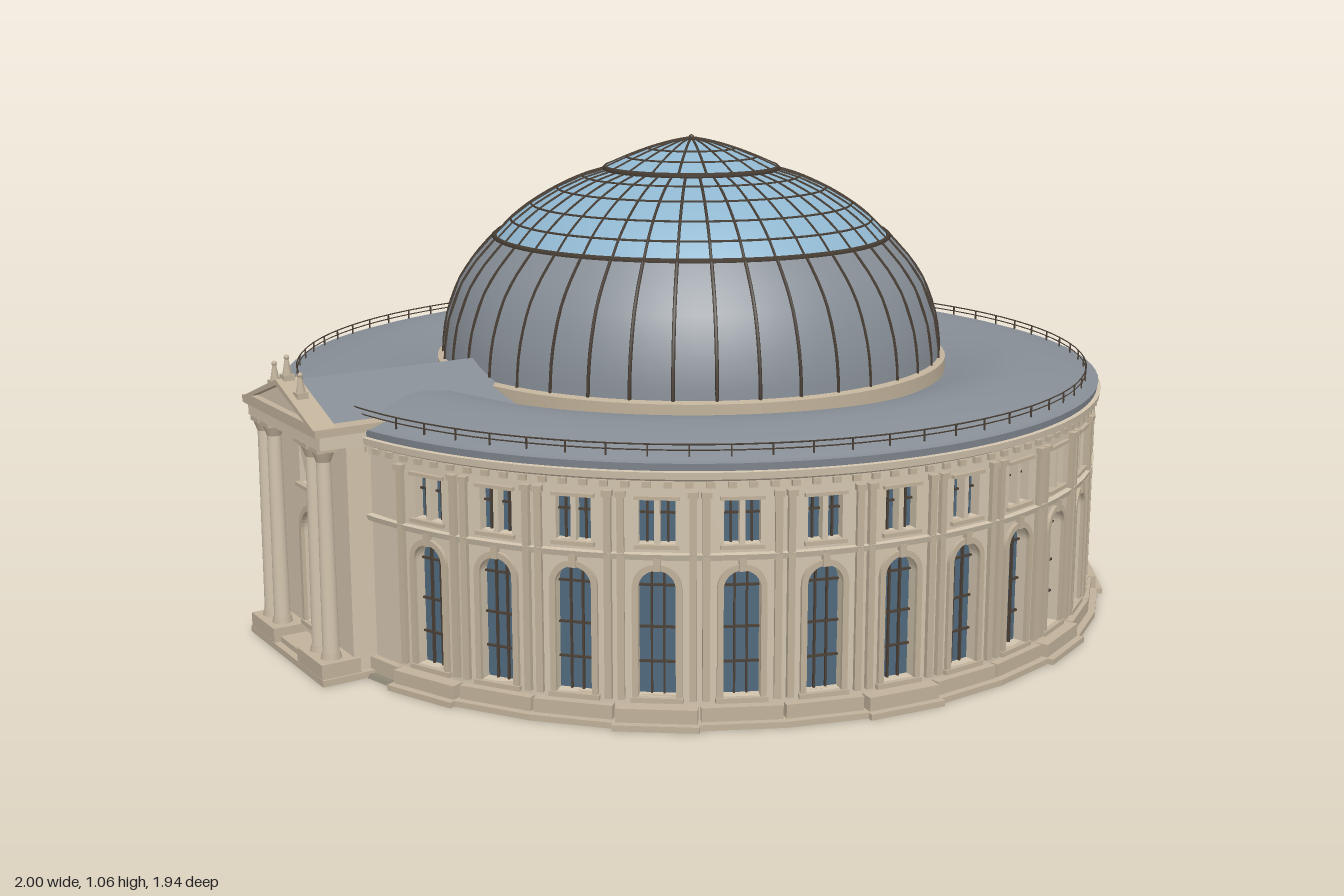
import * as THREE from 'three';
import { mergeGeometries, toCreasedNormals } from 'three/addons/utils/BufferGeometryUtils.js';

const mat = (color, side = THREE.FrontSide) => new THREE.MeshStandardMaterial({ color, side });
const STONE = mat(0xd2c4ae), TRIM = mat(0xc0b19a), PANE = mat(0x4f687c), FRAME = mat(0x4a4036);
const LEAD = mat(0x868d95, THREE.DoubleSide), SKY = mat(0x8fb6cf, THREE.DoubleSide), BASE = mat(0x8d8676);
const DEG = Math.PI / 180, R = 0.922;

// Join many small geometries into one named mesh
function joined(name, list, material) {
  const geo = mergeGeometries(list.map(g => (g.index ? g.toNonIndexed() : g)));
  const m = new THREE.Mesh(geo, material);
  m.name = name;
  return m;
}
const box = (w, h, d, x, y, z) => new THREE.BoxGeometry(w, h, d).translate(x, y, z);
const ring = (r, y, t, seg = 96) => new THREE.TorusGeometry(r, t, 4, seg).rotateX(Math.PI / 2).translate(0, y, 0);
const turn = (profile, seg = 80) => toCreasedNormals(
  new THREE.LatheGeometry(profile.map(p => new THREE.Vector2(p[0], p[1])), seg), 0.6);
const extrude = (shape, depth) => new THREE.ExtrudeGeometry(shape, { depth, bevelEnabled: false, curveSegments: 10 });

function rectPath(p, x0, y0, x1, y1) {
  p.moveTo(x0, y0); p.lineTo(x1, y0); p.lineTo(x1, y1); p.lineTo(x0, y1); p.closePath();
  return p;
}
function archPath(p, half, y0, spring) {
  p.moveTo(-half, y0); p.lineTo(half, y0); p.lineTo(half, spring);
  p.absarc(0, spring, half, 0, Math.PI, false);
  p.lineTo(-half, y0);
  return p;
}

// One wall bay facing +z: pierced panel, window trim and glazing bars
function bay(width, half, lights, z, top, depth) {
  const y0 = 0.055, spring = 0.31 - half, pane = half * 0.82;
  const wall = rectPath(new THREE.Shape(), -width / 2, 0, width / 2, top);
  wall.holes.push(archPath(new THREE.Path(), half, y0, spring));
  const trim = [], bars = [];
  const surround = archPath(new THREE.Shape(), half + 0.012, y0, spring);
  surround.holes.push(archPath(new THREE.Path(), half, y0, spring));
  trim.push(extrude(surround, 0.008).translate(0, 0, z));
  trim.push(box(0.014, 0.026, 0.014, 0, 0.322, z + 0.005));
  trim.push(box(half * 2 + 0.03, 0.01, 0.022, 0, y0 - 0.005, z));
  for (const x of lights) {
    wall.holes.push(rectPath(new THREE.Path(), x - pane / 2, 0.36, x + pane / 2, 0.448));
    bars.push(box(0.004, 0.088, 0.006, x, 0.404, z - 0.019), box(pane, 0.004, 0.006, x, 0.418, z - 0.019));
  }
  const span = Math.max(...lights) * 2 + pane + 0.016;
  trim.push(box(span, 0.008, 0.018, 0, 0.356, z), box(span, 0.007, 0.018, 0, 0.452, z));
  for (const x of [-half / 3, half / 3]) bars.push(box(0.004, spring + half * 0.9 - y0, 0.006, x, (spring + half * 0.9 + y0) / 2, z - 0.019));
  for (const y of [0.12, 0.19, spring]) bars.push(box(half * 2, 0.004, 0.006, 0, y, z - 0.019));
  return { wall: [extrude(wall, depth).translate(0, 0, z - depth)], trim, bars };
}

function drum() {
  const g = new THREE.Group(); g.name = 'drum';
  const wall = [], trim = [], bars = [];
  const place = (parts, a) => {
    for (const [from, to] of [[parts.wall, wall], [parts.trim, trim], [parts.bars, bars]])
      from.forEach(q => to.push(q.rotateY(a * DEG)));
  };
  // Runs of bays: start angle, end angle, number, window half width
  for (const [start, end, n, half] of [[-94, 87, 18, 0.036], [87, 227.4, 19, 0.031]]) {
    const step = (end - start) / n, w = 2 * R * Math.tan(step * DEG / 2);
    for (let i = 0; i < n; i++) {
      const a = start + (i + 0.5) * step;
      const b = bay(w, half, [-half * 0.56, half * 0.56], R, 0.475, 0.03);
      // Pilasters and stepped plinth
      for (const s of [-1, 1]) {
        b.trim.push(box(0.014, 0.415, 0.014, s * (w / 2 - 0.012), 0.2575, R + 0.003));
        b.trim.push(box(0.02, 0.012, 0.022, s * (w / 2 - 0.012), 0.46, R + 0.003));
      }
      const out = i % 3 === 0 ? 0.03 : 0.018;
      b.trim.push(box(w * 0.98, 0.04, 0.03 + out, 0, 0.02, R - 0.015 + out / 2));
      b.trim.push(box(w * 1.04, 0.012, 0.03 + out, 0, 0.006, R + out / 2));
      place(b, a);
    }
  }
  // Plain wall beside the portico
  for (let i = 0; i < 4; i++) {
    const step = 38.6 / 4, w = 2 * R * Math.tan(step * DEG / 2);
    place({ wall: [box(w, 0.475, 0.03, 0, 0.2375, R - 0.015)], trim: [box(w, 0.04, 0.03, 0, 0.02, R)], bars: [] },
      227.4 + (i + 0.5) * step);
  }
  // Dentils under the cornice
  for (let i = 0; i < 144; i++) trim.push(box(0.016, 0.012, 0.016, 0, 0.479, R + 0.004).rotateY(i * 2.5 * DEG));
  // Broad doorstep
  trim.push(box(0.34, 0.014, 0.1, 0, 0.007, 0.925).rotateY(57 * DEG));
  g.add(joined('wallBays', wall, STONE), joined('wallTrim', trim, TRIM), joined('windowBars', bars, FRAME));
  g.add(joined('windowGlass', [new THREE.CylinderGeometry(0.9, 0.9, 0.47, 96, 1, true).translate(0, 0.235, 0)], PANE));
  g.add(joined('foundation', [new THREE.CylinderGeometry(0.95, 0.955, 0.008, 72).translate(0, 0.004, 0)], BASE));
  g.add(joined('stringCourse', [turn([[0.9, 0.328], [0.932, 0.331], [0.936, 0.343], [0.9, 0.346]], 96)], STONE));
  g.add(joined('cornice', [turn([[0.89, 0.465], [0.926, 0.468], [0.926, 0.485], [0.942, 0.492], [0.944, 0.506], [0.9, 0.51]], 96)], STONE));
  return g;
}

function roof() {
  const g = new THREE.Group(); g.name = 'roof';
  g.add(joined('gutter', [turn([[0.9, 0.505], [0.935, 0.507], [0.938, 0.522], [0.915, 0.525]], 96)], LEAD));
  g.add(joined('ringRoof', [new THREE.LatheGeometry([[0.935, 0.52], [0.9, 0.533], [0.84, 0.548], [0.78, 0.559],
    [0.74, 0.561], [0.69, 0.556], [0.63, 0.538], [0.57, 0.515]].map(p => new THREE.Vector2(...p)), 96)], LEAD));
  const rail = [ring(0.91, 0.552, 0.0016), ring(0.91, 0.541, 0.0014)];
  for (let i = 0; i < 72; i++) {
    if (i * 5 > 236 && i * 5 < 262) continue;
    rail.push(box(0.003, 0.03, 0.003, 0, 0.538, 0.91).rotateY(i * 5 * DEG));
  }
  g.add(joined('roofRail', rail, FRAME));
  return g;
}

function dome() {
  const g = new THREE.Group(); g.name = 'dome';
  const lower = [[0.578, 0.5], [0.577, 0.58], [0.566, 0.65], [0.536, 0.73], [0.502, 0.78], [0.458, 0.828]];
  const glass = [[0.452, 0.83], [0.417, 0.866], [0.37, 0.902], [0.31, 0.937], [0.25, 0.963], [0.198, 0.978]];
  const crown = [[0.2, 0.984], [0.15, 1.006], [0.1, 1.025], [0.05, 1.04], [0, 1.05]];
  const ribs = [];
  for (const [name, profile, material, n, t] of [['domeShell', lower, LEAD, 40, 0.004],
    ['domeGlazing', glass, SKY, 40, 0.0032], ['crownGlazing', crown, SKY, 20, 0.003]]) {
    g.add(joined(name, [turn(profile)], material));
    const path = new THREE.CatmullRomCurve3(profile.map(p => new THREE.Vector3(0, p[1], p[0])));
    for (let i = 0; i < n; i++) ribs.push(new THREE.TubeGeometry(path, 12, t, 4).rotateY((i + 0.5) * Math.PI * 2 / n));
  }
  for (const p of [...glass.slice(1, 5), crown[1], crown[2]]) ribs.push(ring(p[0], p[1], 0.003, 80));
  ribs.push(ring(0.455, 0.829, 0.007, 80), ring(0.2, 0.981, 0.007, 80), new THREE.SphereGeometry(0.007, 8, 6).translate(0, 1.05, 0));
  g.add(joined('domeRibs', ribs, FRAME));
  g.add(joined('domeCurb', [turn([[0.57, 0.5], [0.592, 0.505], [0.592, 0.555], [0.575, 0.56]])], TRIM));
  return g;
}

function portico() {
  const g = new THREE.Group(); g.name = 'portico';
  const gable = (hw, y0, y1) => {
    const s = new THREE.Shape();
    s.moveTo(-hw, y0); s.lineTo(hw, y0); s.lineTo(0, y1); s.closePath();
    return s;
  };
  // Pierced front wall with arched door and three upper lights
  const f = bay(0.37, 0.055, [-0.045, 0, 0.045], 0.955, 0.5, 0.03);
  const wall = [...f.wall], trim = [...f.trim];
  for (const s of [-1, 1]) {
    wall.push(box(0.03, 0.5, 0.12, s * 0.17, 0.25, 0.88));
    trim.push(box(0.13, 0.045, 0.085, s * 0.13, 0.0225, 0.987));
  }
  wall.push(box(0.39, 0.03, 0.16, 0, 0.505, 0.935));
  trim.push(box(0.40, 0.016, 0.175, 0, 0.526, 0.938));
  trim.push(box(0.4, 0.014, 0.16, 0, 0.007, 0.95), box(0.15, 0.026, 0.09, 0, 0.013, 0.97));
  // Pediment
  const frame = gable(0.2, 0.53, 0.603);
  frame.holes.push(gable(0.145, 0.541, 0.591));
  trim.push(extrude(frame, 0.05).translate(0, 0, 0.976));
  wall.push(extrude(gable(0.17, 0.535, 0.596), 0.03).translate(0, 0, 0.98));
  // Paired columns
  for (const x of [-0.16, -0.105, 0.105, 0.16]) {
    wall.push(new THREE.CylinderGeometry(0.0145, 0.0175, 0.42, 20).translate(x, 0.265, 0.994));
    trim.push(new THREE.CylinderGeometry(0.019, 0.022, 0.014, 20).translate(x, 0.052, 0.994));
    trim.push(new THREE.CylinderGeometry(0.023, 0.015, 0.022, 16).translate(x, 0.471, 0.994));
    trim.push(box(0.044, 0.01, 0.044, x, 0.486, 0.994));
  }
  // Small rooftop finials
  for (const [x, y] of [[-0.07, 0.575], [0, 0.6], [0.07, 0.575]]) {
    trim.push(box(0.024, 0.014, 0.024, x, y + 0.004, 1));
    trim.push(new THREE.CylinderGeometry(0.004, 0.011, 0.035, 8).translate(x, y + 0.026, 1));
    trim.push(new THREE.SphereGeometry(0.006, 8, 6).translate(x, y + 0.046, 1));
  }
  g.add(joined('porticoWall', wall, STONE), joined('porticoTrim', trim, TRIM), joined('doorBars', f.bars, FRAME));
  g.add(joined('porticoGlass', [box(0.33, 0.48, 0.01, 0, 0.25, 0.927)], PANE));
  // Gabled roof running back to the dome
  g.add(joined('porticoRoof', [extrude(gable(0.2, 0.518, 0.597), 0.47).translate(0, 0, 0.51)], LEAD));
  g.rotation.y = 249 * DEG;
  return g;
}

export function createModel() {
  const model = new THREE.Group();
  model.name = 'domedRotunda';
  const body = new THREE.Group();
  body.name = 'rotunda';
  body.add(drum(), roof(), dome(), portico());
  body.position.set(0.025, 0, -0.005);
  model.add(body);
  return model;
}
